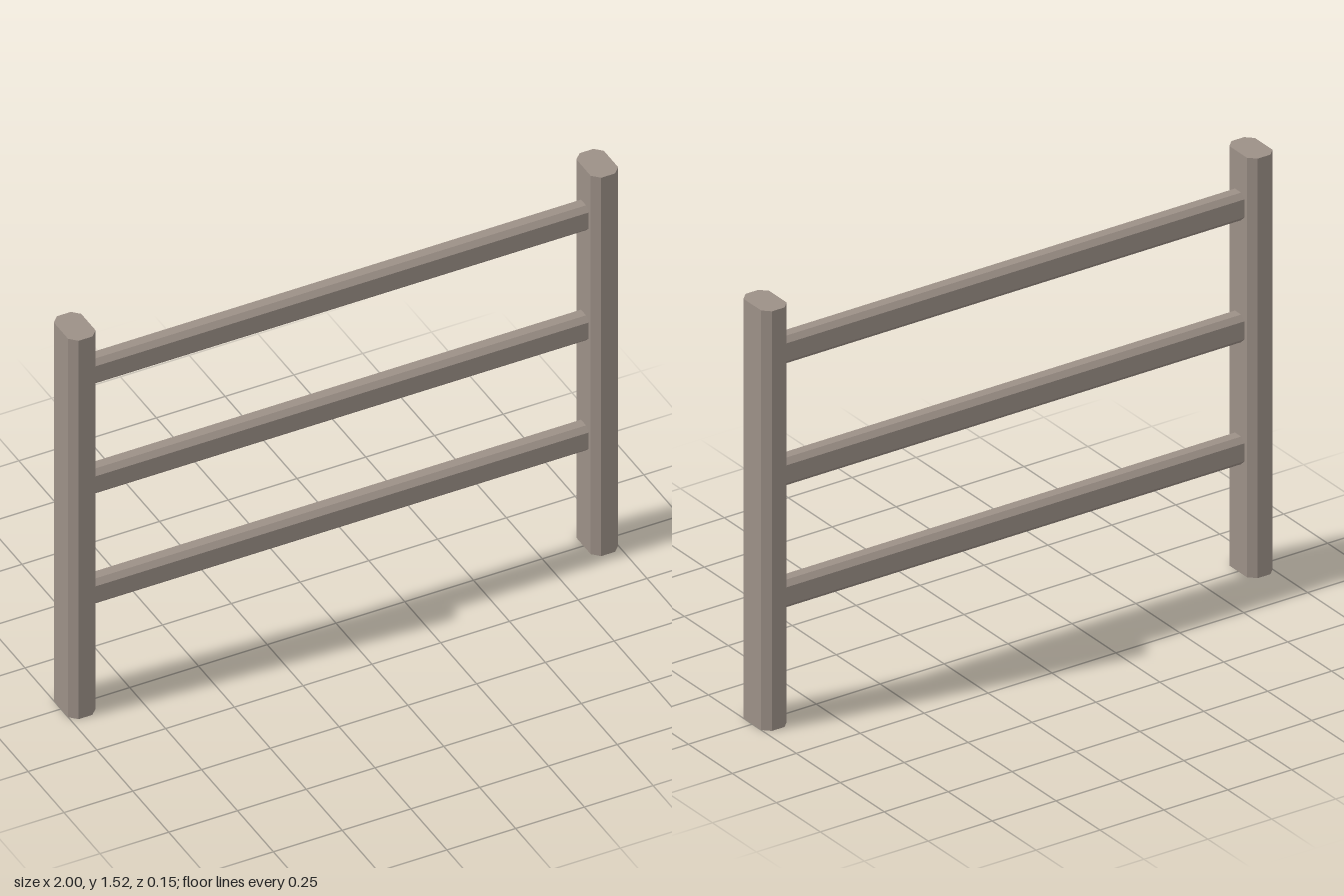
import * as THREE from 'three';

// Bar with chamfered long edges: cross-section w x h, extruded along z and centred
function chamferedBar(w, h, chamfer, length) {
  const x = w / 2, y = h / 2, c = chamfer;
  const section = new THREE.Shape([
    [x, -y + c], [x, y - c], [x - c, y], [-x + c, y],
    [-x, y - c], [-x, -y + c], [-x + c, -y], [x - c, -y],
  ].map(([px, py]) => new THREE.Vector2(px, py)));
  const geometry = new THREE.ExtrudeGeometry(section, { depth: length, bevelEnabled: false });
  return geometry.translate(0, 0, -length / 2);
}

export function createModel() {
  const model = new THREE.Group();
  model.name = 'fence';
  const wood = new THREE.MeshStandardMaterial({ color: 0x9c9087 });
  wood.name = 'weathered wood';

  // Upright posts at both ends
  const postHeight = 1.52;
  const postGeometry = chamferedBar(0.1, 0.15, 0.025, postHeight).rotateX(-Math.PI / 2);
  for (const [name, side] of [['leftPost', 1], ['rightPost', -1]]) {
    const post = new THREE.Mesh(postGeometry, wood);
    post.name = name;
    post.position.set(side * 0.95, postHeight / 2, 0);
    model.add(post);
  }

  // Three horizontal rails between the posts
  const railGeometry = chamferedBar(0.07, 0.1, 0.0175, 1.8).rotateY(Math.PI / 2);
  for (const [name, y] of [['lowerRail', 0.446], ['middleRail', 0.888], ['upperRail', 1.33]]) {
    const rail = new THREE.Mesh(railGeometry, wood);
    rail.name = name;
    rail.position.y = y;
    model.add(rail);
  }
  return model;
}
